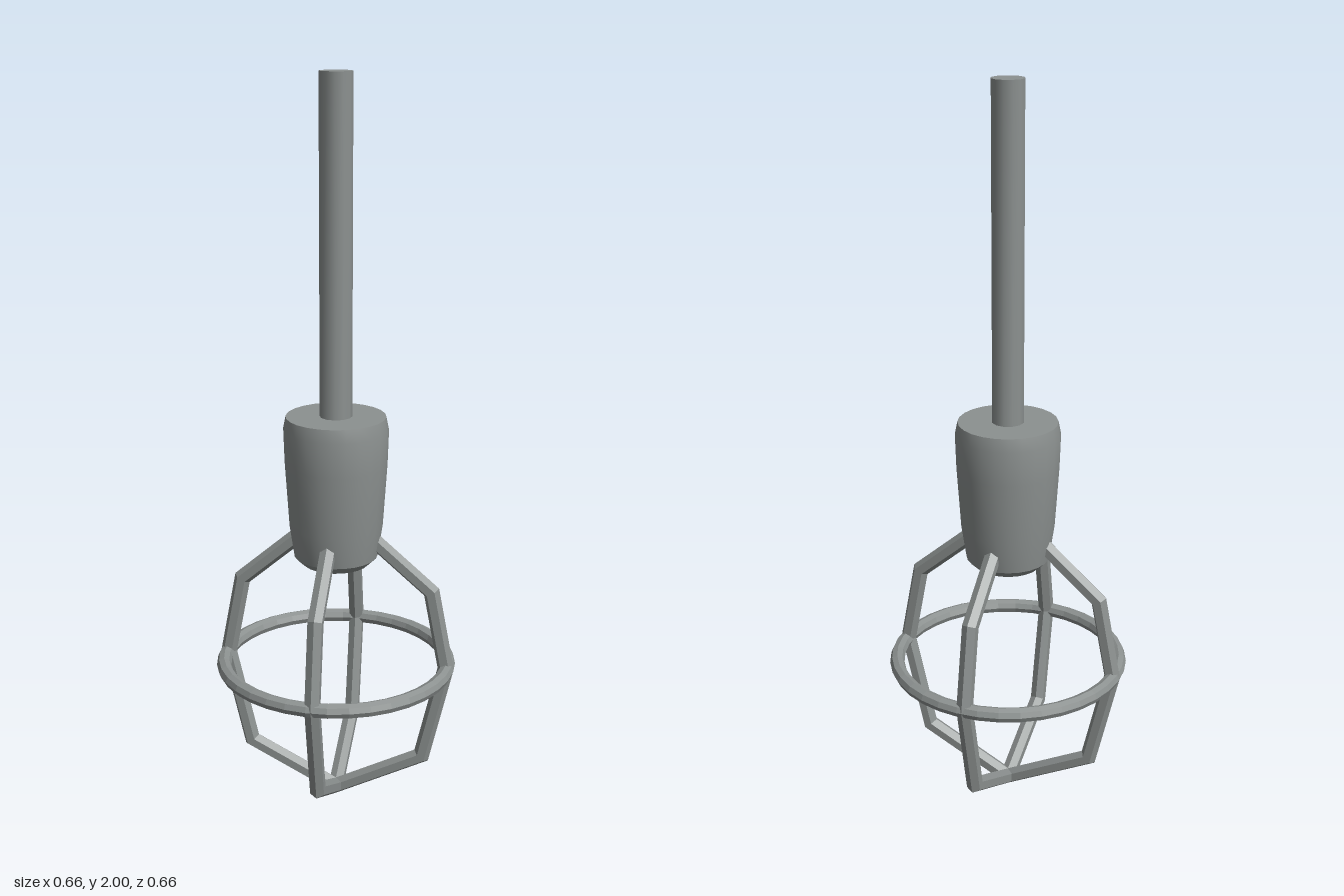
import * as THREE from 'three';
import { toCreasedNormals } from 'three/addons/utils/BufferGeometryUtils.js';

const color = 0x8c9190;
const smoothMat = new THREE.MeshStandardMaterial({ color });
const facetMat = new THREE.MeshStandardMaterial({ color, flatShading: true });

// Rod along a bent path in the XY plane, with mitred corners and capped ends
function mitredRod(points, radius, sides) {
  const position = [], index = [], n = points.length;
  points.forEach((p, i) => {
    const before = p.clone().sub(points[Math.max(i - 1, 0)]).normalize();
    const after = points[Math.min(i + 1, n - 1)].clone().sub(p).normalize();
    const dir = before.clone().add(after).normalize();
    const stretch = 1 / dir.dot(i ? before : after);
    for (let k = 0; k < sides; k++) {
      const a = (k / sides) * Math.PI * 2;
      const u = Math.cos(a) * radius * stretch;
      position.push(p.x - dir.y * u, p.y + dir.x * u, Math.sin(a) * radius);
    }
  });
  for (let i = 0; i < n - 1; i++) {
    for (let k = 0; k < sides; k++) {
      const a = i * sides + k, b = i * sides + (k + 1) % sides;
      index.push(a, b, a + sides, b, b + sides, a + sides);
    }
  }
  const last = (n - 1) * sides;
  for (let k = 1; k < sides - 1; k++) {
    index.push(0, k + 1, k, last, last + k, last + k + 1);
  }
  const geometry = new THREE.BufferGeometry();
  geometry.setAttribute('position', new THREE.Float32BufferAttribute(position, 3));
  geometry.setIndex(index);
  geometry.computeVertexNormals();
  return geometry;
}

export function createModel() {
  const model = new THREE.Group();
  const add = (name, geometry, material) => {
    const mesh = new THREE.Mesh(geometry, material);
    mesh.name = name;
    model.add(mesh);
    return mesh;
  };

  // Hanging cord
  const cord = new THREE.CylinderGeometry(0.043, 0.043, 0.9, 12);
  add('cord', toCreasedNormals(cord, 0.7), smoothMat).position.y = 1.55;

  // Tapered lamp socket with a bevelled bottom rim
  const profile = [
    [0, 0.71], [0.09, 0.71], [0.113, 0.732], [0.126, 0.82],
    [0.137, 0.99], [0.14, 1.085], [0.133, 1.12], [0, 1.12],
  ].map(([r, y]) => new THREE.Vector2(r, y));
  add('socket', toCreasedNormals(new THREE.LatheGeometry(profile, 24), 0.5), smoothMat);

  // Guard wires: two mirrored hoops crossing at the bottom
  const half = [[0.1, 0.782], [0.263, 0.642], [0.306, 0.42], [0.243, 0.148]];
  const path = [
    ...half.map(([x, y]) => new THREE.Vector2(-x, y)),
    new THREE.Vector2(0, 0.025),
    ...half.map(([x, y]) => new THREE.Vector2(x, y)).reverse(),
  ];
  const wire = mitredRod(path, 0.022, 6);
  for (let i = 0; i < 2; i++) {
    add('guardWire', wire, facetMat).rotation.y = Math.PI / 8 + i * Math.PI / 2;
  }

  // Ring around the widest part of the guard
  const ring = add('guardRing', new THREE.TorusGeometry(0.309, 0.02, 8, 36), facetMat);
  ring.rotation.x = Math.PI / 2;
  ring.position.y = 0.418;

  return model;
}
